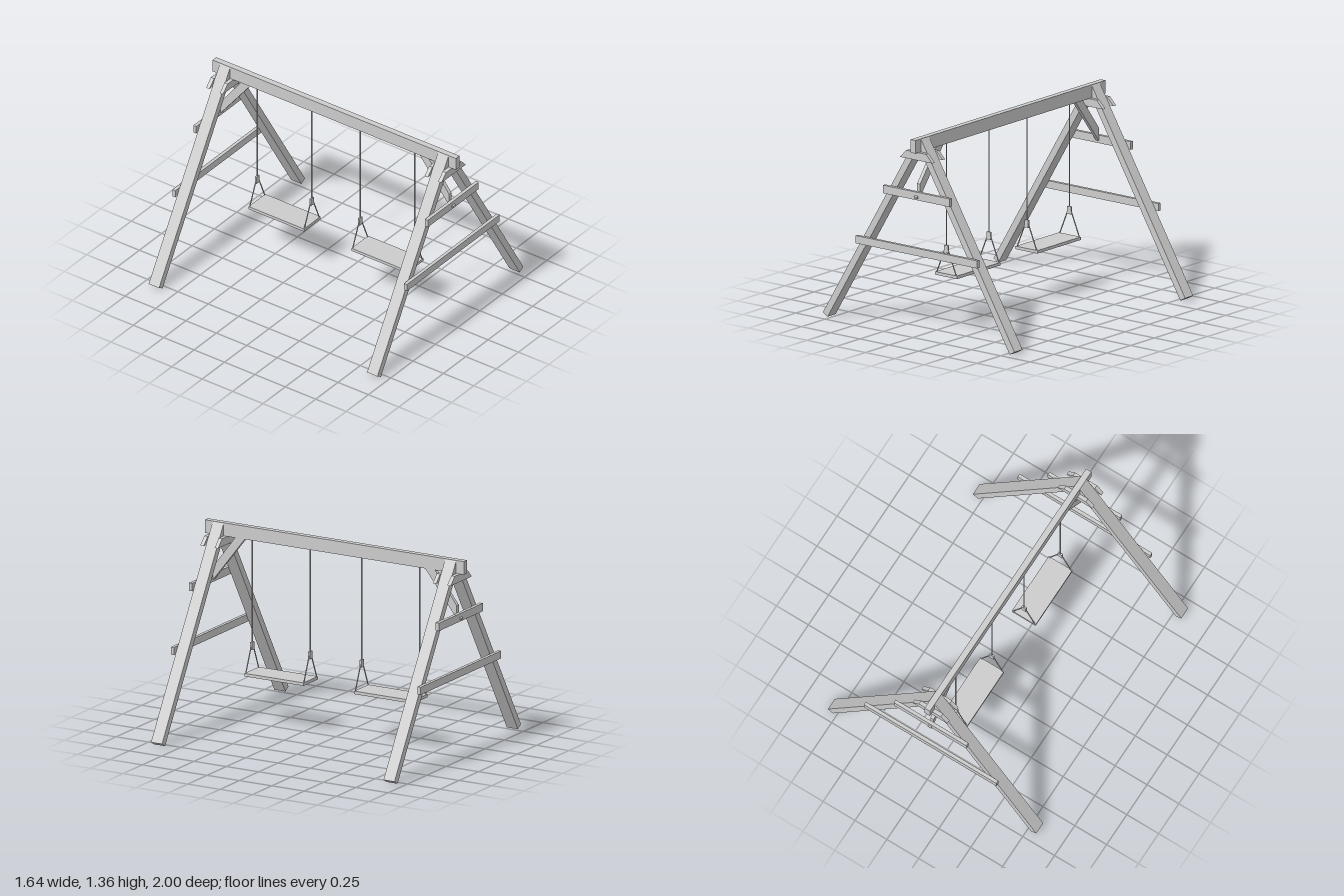
import * as THREE from 'three';

const wood = new THREE.MeshStandardMaterial({ color: 0xcccccc, flatShading: true });
const ropeMat = new THREE.MeshStandardMaterial({ color: 0xcccccc });

function add(parent, name, geometry, material = wood) {
  const mesh = new THREE.Mesh(geometry, material);
  mesh.name = name;
  parent.add(mesh);
  return mesh;
}

// Box given by its minimum and maximum corners
function box(parent, name, min, max) {
  const size = max.map((v, i) => v - min[i]);
  const mesh = add(parent, name, new THREE.BoxGeometry(...size));
  mesh.position.set(...min.map((v, i) => (v + max[i]) / 2));
  return mesh;
}

// Flat board with an outline in x, y, reaching from z0 to z1
function board(parent, name, points, z0, z1) {
  const shape = new THREE.Shape(points.map(([x, y]) => new THREE.Vector2(x, y)));
  const geometry = new THREE.ExtrudeGeometry(shape, { depth: z1 - z0, bevelEnabled: false });
  geometry.translate(0, 0, z0);
  return add(parent, name, geometry);
}

// Straight rope between two points
function rope(parent, name, a, b, radius = 0.004) {
  const start = new THREE.Vector3(...a);
  const end = new THREE.Vector3(...b);
  const dir = end.clone().sub(start);
  const mesh = add(parent, name, new THREE.CylinderGeometry(radius, radius, dir.length(), 8), ropeMat);
  mesh.position.copy(start).add(end).multiplyScalar(0.5);
  mesh.quaternion.setFromUnitVectors(new THREE.Vector3(0, 1, 0), dir.normalize());
}

// A-frame for the front end
function endFrame() {
  const frame = new THREE.Group();

  // Splayed legs, cut upright against the beam and square at the foot
  for (const s of [-1, 1]) {
    board(frame, s > 0 ? 'leftLeg' : 'rightLeg',
      [[0.818 * s, 0.024], [0.778 * s, 0], [0.02 * s, 1.263], [0.02 * s, 1.352]], 0.855, 0.94);
  }

  // Gusset plates on both faces of the legs
  const gusset = [[-0.137, 1.21], [0.137, 1.21], [0.085, 1.264], [-0.085, 1.264]];
  board(frame, 'outerGusset', gusset, 0.94, 0.967);
  board(frame, 'innerGusset', gusset, 0.829, 0.855);

  // Cross boards
  box(frame, 'upperCrossBoard', [-0.285, 0.935, 0.94], [0.285, 0.99, 0.964]);
  box(frame, 'lowerCrossBoard', [-0.52, 0.553, 0.94], [0.52, 0.605, 0.964]);

  // Diagonal brace from the upper cross board to the beam, drawn in z, y
  const brace = board(frame, 'diagonalBrace',
    [[0.694, 1.266], [0.945, 0.945], [0.973, 0.945], [0.973, 0.957],
      [0.94, 0.985], [0.94, 1.042], [0.769, 1.266]], -0.013, 0.013);
  brace.rotation.y = -Math.PI / 2;
  return frame;
}

// Swing seat with its two rope hangers
function swing() {
  const group = new THREE.Group();
  box(group, 'seat', [-0.093, 0.344, 0.195], [0.093, 0.365, 0.651]);
  for (const z of [0.199, 0.647]) {
    rope(group, 'hangingRope', [0, 1.27, z], [0, 0.55, z]);
    box(group, 'ropeClamp', [-0.017, 0.508, z - 0.007], [0.017, 0.56, z + 0.007]);
    for (const s of [-1, 1]) {
      rope(group, 'seatRope', [0.01 * s, 0.54, z], [0.087 * s, 0.355, z]);
    }
  }
  return group;
}

export function createModel() {
  const model = new THREE.Group();
  model.name = 'swingSet';
  box(model, 'topBeam', [-0.021, 1.265, -1], [0.021, 1.355, 1]);

  // Each half is the other turned about the upright axis
  for (const [side, turn] of [['front', 0], ['back', Math.PI]]) {
    const frame = endFrame();
    frame.name = side + 'Frame';
    const seat = swing();
    seat.name = side + 'Swing';
    for (const part of [frame, seat]) {
      part.rotation.y = turn;
      model.add(part);
    }
  }
  return model;
}
